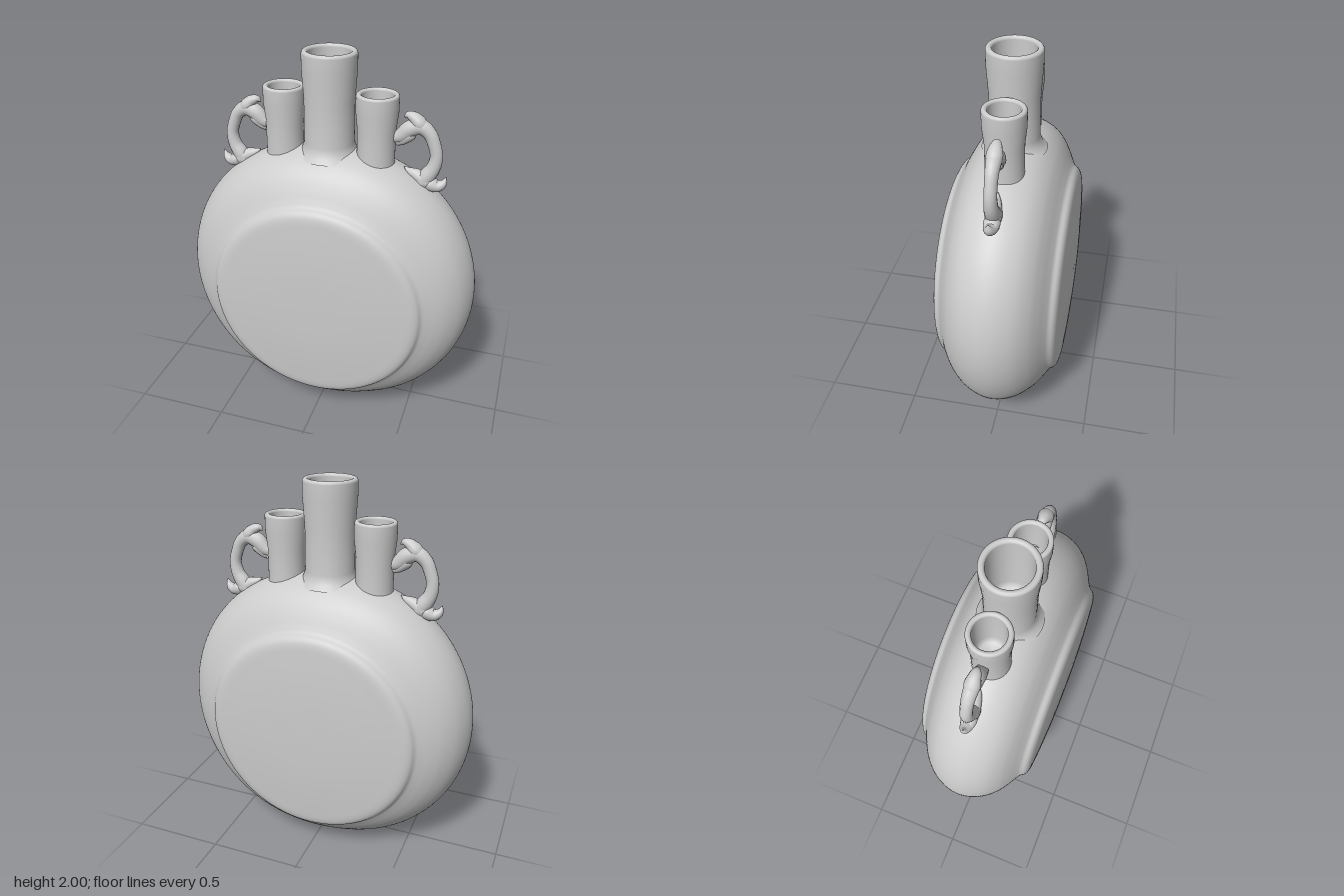
import * as THREE from 'three';
import { mergeVertices } from 'three/addons/utils/BufferGeometryUtils.js';

const material = new THREE.MeshStandardMaterial({ color: 0xcccccc, side: THREE.DoubleSide });

function addMesh(parent, geometry, name) {
  const mesh = new THREE.Mesh(geometry, material);
  mesh.name = name;
  parent.add(mesh);
  return mesh;
}

// Weld seams so that recomputed normals stay smooth
function smooth(geometry) {
  geometry.deleteAttribute('uv');
  geometry.deleteAttribute('normal');
  const welded = mergeVertices(geometry, 1e-5);
  welded.computeVertexNormals();
  return welded;
}

// Round flattened body: a lathe about z with a raised disc on each face and a flat foot
function bodyGeometry() {
  const half = [[0.8, 0], [0.79, 0.065], [0.755, 0.14], [0.7, 0.2], [0.65, 0.235], [0.6, 0.263],
    [0.575, 0.279], [0.556, 0.303], [0.53, 0.316], [0.45, 0.325], [0.25, 0.337], [0, 0.341]];
  const back = half.slice(1).reverse().map(([r, z]) => [r, -z]);
  const curve = new THREE.CatmullRomCurve3([...back, ...half].map(([r, z]) => new THREE.Vector3(r, z, 0)));
  const profile = curve.getPoints(130).map((p) => new THREE.Vector2(Math.max(0, p.x), p.y));
  const geometry = new THREE.LatheGeometry(profile, 128).rotateX(Math.PI / 2);
  const pos = geometry.attributes.position;
  for (let i = 0; i < pos.count; i++) {
    const x = pos.getX(i), y = pos.getY(i);
    const r = Math.hypot(x, y);
    const upright = r > 0 ? Math.abs(y) / r : 0;
    const k = 1 - 0.035 * upright ** 6 * THREE.MathUtils.smoothstep(r, 0.5, 0.75);
    const centre = 0.715 + 0.035 * THREE.MathUtils.smoothstep(r, 0.54, 0.75);
    pos.setX(i, x * k);
    pos.setY(i, Math.max(0, centre + y * k));
  }
  return smooth(geometry);
}

// Hollow neck with a rounded lip and a slight waist
function neckGeometry(radius, bore, base, top, depth, flare) {
  const lip = (radius - bore) / 2;
  const waist = radius - 0.01;
  const points = [[waist + flare, base], [waist + flare * 0.4, base + 0.025], [waist, base + 0.07],
    [waist, base + (top - base) * 0.55], [radius, top - 0.09], [radius, top - lip]];
  for (let i = 1; i <= 8; i++) {
    const a = (i / 8) * Math.PI;
    points.push([bore + lip + lip * Math.cos(a), top - lip + lip * Math.sin(a)]);
  }
  points.push([bore, top - depth + 0.03], [bore - 0.02, top - depth + 0.006], [0, top - depth]);
  return smooth(new THREE.LatheGeometry(points.map(([x, y]) => new THREE.Vector2(x, y)), 64));
}

// Tube of varying thickness in the xy plane; each stop is [x, y, radius]
function taperedTube(stops, side, depthScale = 1) {
  const curve = new THREE.CatmullRomCurve3(stops.map(([x, y]) => new THREE.Vector3(x * side, y, 0)));
  const radii = new THREE.CatmullRomCurve3(stops.map(([, , r], i) => new THREE.Vector3(i, r, 0)));
  const steps = stops.length * 8, around = 16;
  const geometry = new THREE.TubeGeometry(curve, steps, 1, around);
  const pos = geometry.attributes.position;
  const v = new THREE.Vector3();
  for (let i = 0; i <= steps; i++) {
    const centre = curve.getPointAt(i / steps);
    const t = curve.getUtoTmapping(i / steps);
    const r = Math.max(0.001, radii.getPoint(t).y);
    for (let j = 0; j <= around; j++) {
      const n = i * (around + 1) + j;
      v.fromBufferAttribute(pos, n).sub(centre).multiplyScalar(r);
      pos.setXYZ(n, centre.x + v.x, centre.y + v.y, v.z * depthScale);
    }
  }
  return smooth(geometry);
}

function createHandle(side) {
  const handle = new THREE.Group();
  handle.name = side > 0 ? 'leftHandle' : 'rightHandle';
  // Arch from the side neck to the shoulder
  addMesh(handle, taperedTube([[0.32, 1.595, 0.025], [0.36, 1.61, 0.036], [0.405, 1.65, 0.042],
    [0.455, 1.665, 0.039], [0.5, 1.635, 0.034], [0.527, 1.58, 0.032], [0.541, 1.52, 0.032],
    [0.53, 1.46, 0.036], [0.5, 1.41, 0.042], [0.465, 1.36, 0.04]], side, 0.95), 'handleArch');
  // Curled crest above the arch
  addMesh(handle, taperedTube([[0.49, 1.645, 0.02], [0.45, 1.68, 0.035], [0.42, 1.708, 0.028],
    [0.39, 1.717, 0.018], [0.37, 1.705, 0.001]], side, 1.1), 'handleCrest');
  // Small jaw below the arch at the neck
  addMesh(handle, taperedTube([[0.34, 1.575, 0.02], [0.37, 1.59, 0.026], [0.41, 1.625, 0.03],
    [0.43, 1.65, 0.001]], side), 'handleJaw');
  // Outward curl at the foot
  addMesh(handle, taperedTube([[0.49, 1.41, 0.02], [0.52, 1.377, 0.036], [0.56, 1.367, 0.03],
    [0.585, 1.385, 0.02], [0.597, 1.42, 0.001]], side, 1.1), 'handleFootCurl');
  // Inner leaf lying along the shoulder
  addMesh(handle, taperedTube([[0.54, 1.36, 0.02], [0.5, 1.385, 0.04], [0.45, 1.412, 0.032],
    [0.415, 1.428, 0.02], [0.385, 1.45, 0.001]], side), 'handleFootLeaf');
  return handle;
}

export function createModel() {
  const model = new THREE.Group();
  model.name = 'flask';
  addMesh(model, bodyGeometry(), 'body');
  addMesh(model, neckGeometry(0.137, 0.106, 1.47, 2, 0.4, 0.04), 'centreNeck').position.x = -0.005;
  for (const side of [1, -1]) {
    const neck = addMesh(model, neckGeometry(0.106, 0.079, 1.4, 1.81, 0.28, 0.01),
      side > 0 ? 'leftNeck' : 'rightNeck');
    neck.position.x = side * 0.241 - 0.003;
    model.add(createHandle(side));
  }
  return model;
}
